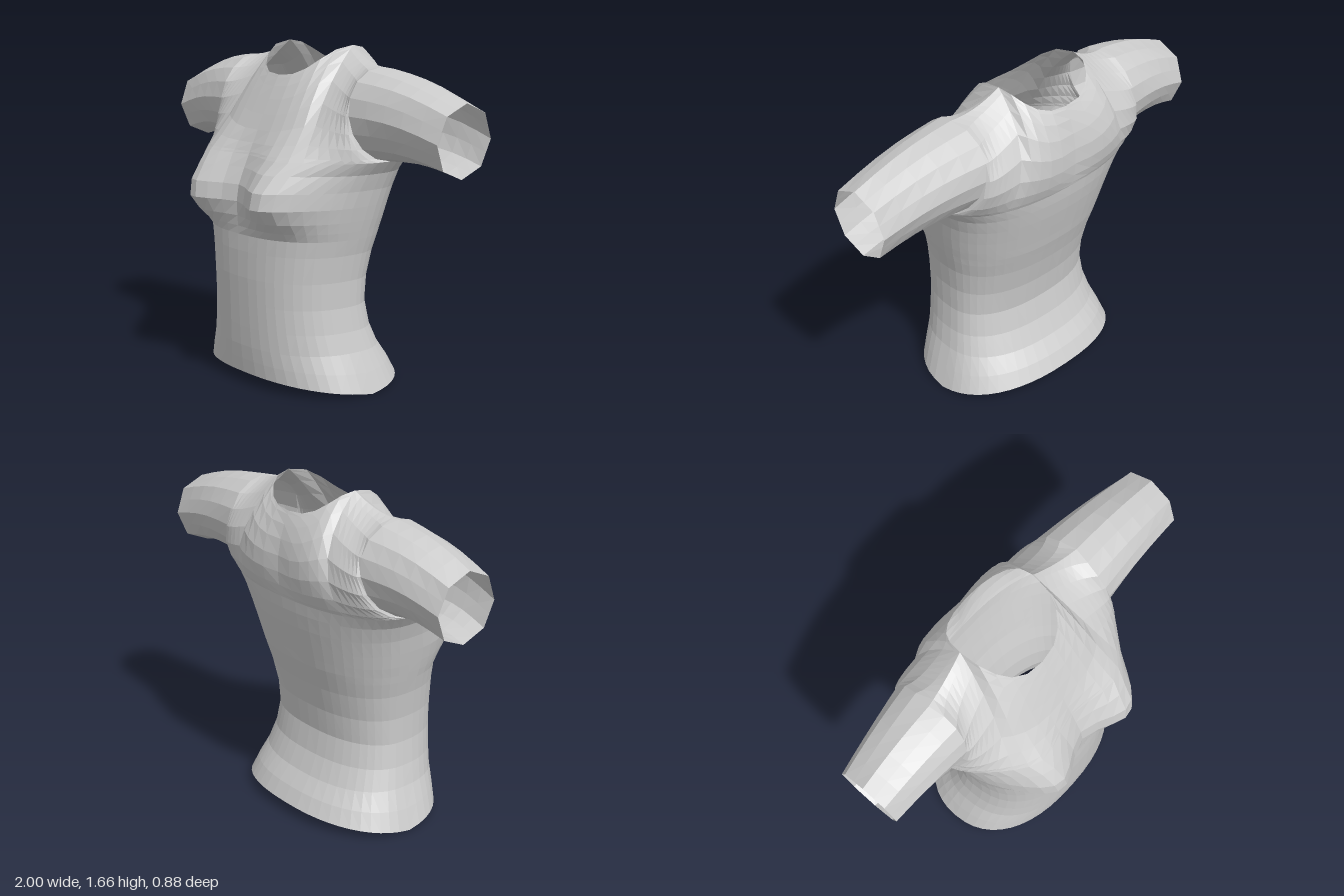
import * as THREE from 'three';

const M = 12;       // columns from the centre line to the side
const NECK = 5;     // columns that end at the neckline
const R = 8;        // rows from the armpit to the shoulder
const CX = -0.055;  // centre line of the body

const lerp = THREE.MathUtils.lerp;
const smooth = THREE.MathUtils.smoothstep;

// Body sections: height, half width, z of side, front and back
const SECTIONS = [
  [0.00, 0.535, -0.07, 0.310, -0.425],
  [0.10, 0.500, -0.06, 0.318, -0.385],
  [0.20, 0.462, -0.05, 0.325, -0.330],
  [0.30, 0.436, -0.03, 0.330, -0.285],
  [0.42, 0.420, -0.02, 0.335, -0.260],
  [0.55, 0.422, -0.02, 0.340, -0.275],
  [0.68, 0.440, -0.03, 0.340, -0.307],
  [0.76, 0.460, -0.04, 0.336, -0.332],
  [0.80, 0.470, -0.04, 0.335, -0.345],
  [0.85, 0.482, -0.05, 0.335, -0.357],
  [0.92, 0.498, -0.06, 0.335, -0.375],
  [1.00, 0.515, -0.08, 0.322, -0.395],
  [1.08, 0.542, -0.10, 0.290, -0.412],
  [1.14, 0.585, -0.12, 0.265, -0.420],
];

const material = new THREE.MeshStandardMaterial({
  color: 0xcccccc, flatShading: true, side: THREE.DoubleSide,
});

// Surface through rows of points
function surface(name, rows, flip) {
  const n = rows[0].length;
  const index = [];
  for (let r = 0; r < rows.length - 1; r++) {
    for (let c = 0; c < n - 1; c++) {
      const a = r * n + c, b = a + 1, d = a + n, e = d + 1;
      if (flip) index.push(a, e, b, a, d, e);
      else index.push(a, b, e, a, e, d);
    }
  }
  const geometry = new THREE.BufferGeometry().setFromPoints(rows.flat());
  geometry.setIndex(index);
  geometry.computeVertexNormals();
  const mesh = new THREE.Mesh(geometry, material);
  mesh.name = name;
  return mesh;
}

// Forward swell of the chest
function chest(x, y) {
  const rise = smooth(y, 0.74, 0.93) * (1 - smooth(y, 0.97, 1.32));
  return 0.137 * rise * Math.exp(-0.5 * ((x - 0.27) / 0.115) ** 2);
}

// Point on a body section, column j, face +1 front or -1 back
function sectionPoint([y, w, side, front, back], j, face) {
  const a = (j / M) * Math.PI / 2;
  const c = j === M ? 0 : Math.cos(a) ** 0.85;
  const z = side + ((face > 0 ? front : back) - side) * c;
  const hem = 0.055 * c * Math.max(0, 1 - y / 0.2);
  return new THREE.Vector3(w * Math.sin(a) ** 0.85, y + hem, z);
}

// Point on the neckline or the shoulder seam
function topPoint(j, face) {
  if (j <= NECK) {
    const a = (j / NECK) * Math.PI / 2;
    const s = Math.sin(a) ** 0.85;
    const c = j === NECK ? 0 : Math.cos(a) ** 0.85;
    const low = face > 0 ? 1.515 : 1.545;
    return new THREE.Vector3(0.245 * s, lerp(low, 1.66, s ** 3),
      -0.18 + (face > 0 ? 0.265 : -0.19) * c);
  }
  const t = (j - NECK) / (M - NECK);
  return new THREE.Vector3(0.245 + 0.255 * t, 1.575 + 0.085 * (1 - t) ** 2, -0.18 + 0.04 * t);
}

// Point between the armpit section and the top edge
function yokePoint(i, j, face) {
  const v = i / R;
  const e = (1 - Math.cos(Math.PI * v)) / 2;
  const s = j / M;
  const p = sectionPoint(SECTIONS[SECTIONS.length - 1], j, face).lerp(topPoint(j, face), e);
  const arch = i === R ? 0 : Math.sin(Math.PI * v);
  const bulge = face > 0 ? lerp(0.005, 0.2, s ** 1.5) : -lerp(0.04, 0.235, s);
  p.z += bulge * arch ** lerp(2, 1, s ** 3);
  p.x -= 0.04 * s ** 3 * arch;
  return p;
}

// Whole column of a panel, hem to top
function column(j, face) {
  const points = SECTIONS.map((section) => sectionPoint(section, j, face));
  for (let i = 1; i <= R; i++) points.push(yokePoint(i, j, face));
  if (face > 0) for (const p of points) p.z += j === M ? 0 : chest(p.x, p.y);
  return points;
}

function panel(name, face) {
  const columns = [];
  for (let j = -M; j <= M; j++) {
    const side = j < 0 ? -1 : 1;
    columns.push(column(Math.abs(j), face).map((p) => p.setX(CX + side * p.x)));
  }
  const rows = columns[0].map((_, r) => columns.map((col) => col[r]));
  return surface(name, rows, face < 0);
}

// Sleeve from the armhole to an eight-sided cuff
function sleeve(name, side) {
  const armhole = [], cuff = [];
  for (let i = 0; i <= 2 * R; i++) {
    const p = i <= R ? yokePoint(i, M, 1) : yokePoint(2 * R - i, M, -1);
    armhole.push(p.setX(CX + side * p.x));
    const a = (i / R) * Math.PI;
    const k = i % 2 ? Math.cos(Math.PI / R) : 1;
    const up = -Math.cos(a) * k;
    cuff.push(new THREE.Vector3(side * (0.988 + 0.012 * up),
      1.282 + 0.172 * up, -0.137 + 0.168 * Math.sin(a) * k));
  }
  const rows = [];
  const steps = 5;
  for (let r = 0; r <= steps; r++) {
    const t = r / steps;
    rows.push(armhole.map((p, i) => {
      const q = p.clone().lerp(cuff[i], t);
      q.y += 0.022 * Math.sin(Math.PI * t);
      return q;
    }));
  }
  return surface(name, rows, side > 0);
}

export function createModel() {
  const shirt = new THREE.Group();
  shirt.name = 'shirt';
  shirt.add(
    panel('frontPanel', 1),
    panel('backPanel', -1),
    sleeve('leftSleeve', 1),
    sleeve('rightSleeve', -1),
  );
  return shirt;
}
